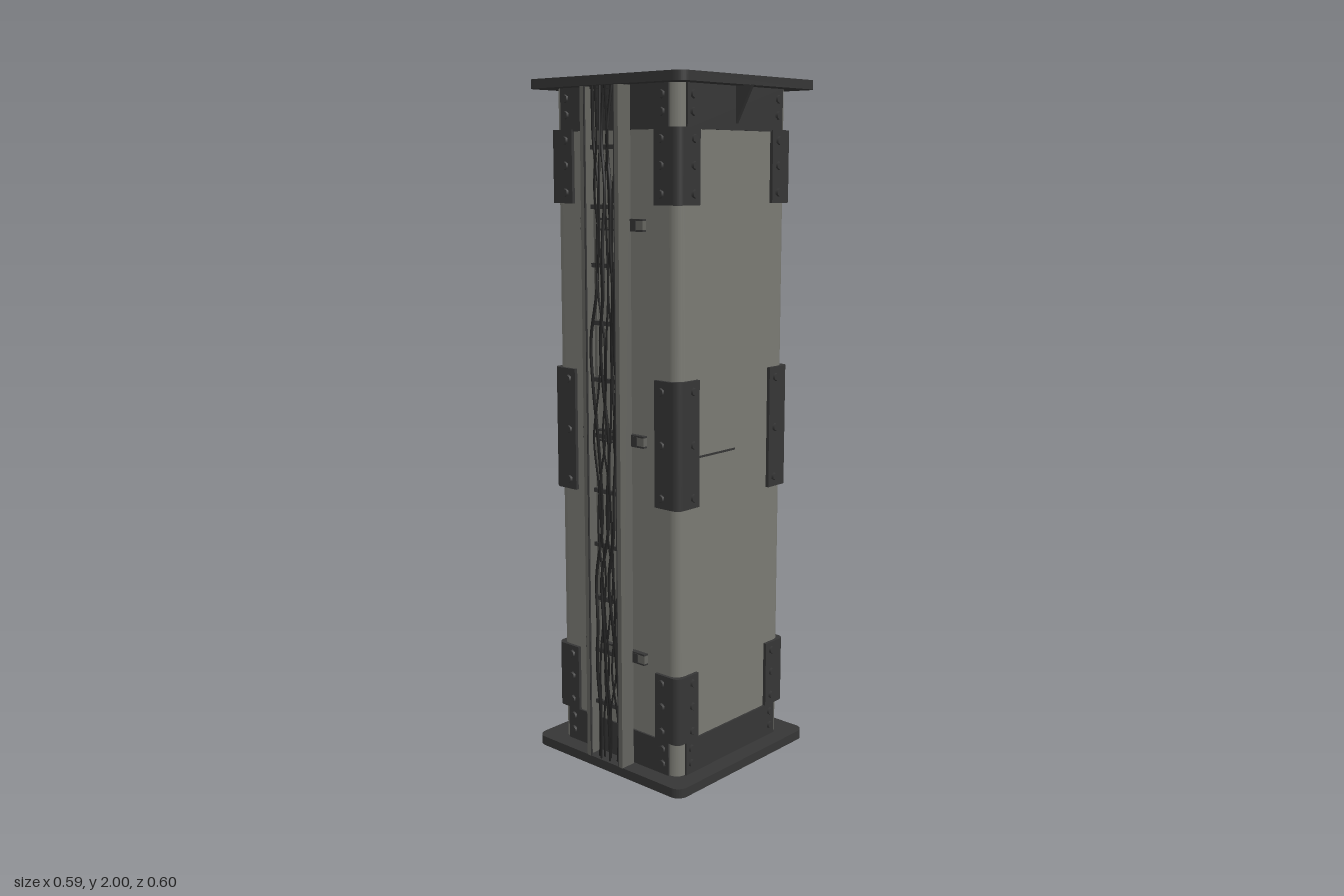
import * as THREE from 'three';

const mat = (name, color) => Object.assign(new THREE.MeshStandardMaterial({ color }), { name });

export function createModel() {
  const root = new THREE.Group();
  root.name = 'column';
  const concrete = mat('concreteGrey', 0x7a7a73);
  const steel = mat('darkSteel', 0x363636);
  const railGrey = mat('railGrey', 0x64645f);
  const cableBlack = mat('cableBlack', 0x202020);

  const add = (parent, name, geo, material, x = 0, y = 0, z = 0) => {
    const m = new THREE.Mesh(geo, material);
    m.name = name;
    m.position.set(x, y, z);
    parent.add(m);
    return m;
  };
  const box = (parent, name, material, w, h, d, x, y, z) =>
    add(parent, name, new THREE.BoxGeometry(w, h, d), material, x, y, z);

  // Upright prism with its base at y = 0
  const prism = (shape, h) =>
    new THREE.ExtrudeGeometry(shape, { depth: h, bevelEnabled: false, curveSegments: 6 }).rotateX(-Math.PI / 2);

  const roundedSquare = (a, r) => {
    const s = new THREE.Shape();
    s.absarc(a - r, a - r, r, 0, Math.PI / 2);
    s.absarc(-a + r, a - r, r, Math.PI / 2, Math.PI);
    s.absarc(-a + r, -a + r, r, Math.PI, Math.PI * 1.5);
    s.absarc(a - r, -a + r, r, Math.PI * 1.5, Math.PI * 2);
    s.closePath();
    return s;
  };

  // Shaft and end plates
  add(root, 'shaft', prism(roundedSquare(0.236, 0.03), 1.95), concrete, 0, 0.025, 0);
  add(root, 'basePlate', prism(roundedSquare(0.294, 0.032), 0.028), steel);
  add(root, 'topPlate', prism(roundedSquare(0.294, 0.032), 0.026), steel, 0, 1.974, -0.005);

  // Angle section that wraps one corner
  const angle = new THREE.Shape();
  const o = 0.246, i = 0.234, e = 0.157, r = 0.022;
  angle.moveTo(e, i);
  angle.lineTo(i - 0.02, i);
  angle.lineTo(i, i - 0.02);
  angle.lineTo(i, e);
  angle.lineTo(o, e);
  angle.lineTo(o, o - r);
  angle.absarc(o - r, o - r, r, 0, Math.PI / 2);
  angle.lineTo(e, o);
  angle.closePath();

  const boltGeo = new THREE.CylinderGeometry(0.011, 0.012, 0.008, 6).rotateX(Math.PI / 2);
  const brackets = [
    { y: 0.13, h: 0.2, bolts: [0.16, 0.235, 0.305] },
    { y: 0.82, h: 0.36, bolts: [0.85, 1.0, 1.15] },
    { y: 1.655, h: 0.205, bolts: [1.685, 1.76, 1.83] },
  ];
  const collarBolts = [0.06, 0.105, 1.9, 1.945];

  // Each side: two collars, one corner of brackets, and bolts
  for (let k = 0; k < 4; k++) {
    const side = new THREE.Group();
    side.name = 'side' + (k + 1);
    side.rotation.y = k * Math.PI / 2;
    root.add(side);
    box(side, 'lowerCollar', steel, 0.41, 0.104, 0.012, 0, 0.078, 0.236);
    box(side, 'upperCollar', steel, 0.41, 0.12, 0.012, 0, 1.915, 0.236);
    for (const b of brackets) {
      add(side, 'cornerBracket', prism(angle, b.h), steel, 0, b.y, 0);
      for (const y of b.bolts)
        for (const s of [-1, 1]) add(side, 'bolt', boltGeo, steel, s * 0.183, y, 0.249);
    }
    for (const y of collarBolts)
      for (const s of [-1, 1]) add(side, 'collarBolt', boltGeo, steel, s * 0.183, y, 0.245);
  }

  // Triangular gussets under the top plate
  const tri = new THREE.Shape([
    new THREE.Vector2(0.235, 1.86), new THREE.Vector2(0.297, 1.975), new THREE.Vector2(0.235, 1.975),
  ]);
  for (const s of [0, 1]) {
    const geo = new THREE.ExtrudeGeometry(tri, { depth: 0.01, bevelEnabled: false }).translate(0, 0, -0.005);
    add(root, 'gusset', geo, steel).rotation.y = s * Math.PI;
  }

  // Thin horizontal joint on the side
  box(root, 'sideJoint', steel, 0.003, 0.006, 0.17, 0.236, 0.96, 0.075);

  // Cable ladder: channel rails, rungs and wall struts
  const ladder = new THREE.Group();
  ladder.name = 'cableLadder';
  root.add(ladder);
  for (const s of [-1, 1]) {
    box(ladder, 'railWeb', railGrey, 0.005, 1.945, 0.048, s * 0.07, 1.0, 0.271);
    for (const z of [0.249, 0.293])
      box(ladder, 'railFlange', railGrey, 0.014, 1.945, 0.004, s * 0.064, 1.0, z);
    box(ladder, 'railEdge', steel, 0.003, 1.945, 0.005, s * 0.0565, 1.0, 0.2935);
  }
  for (let n = 0; n < 12; n++)
    box(ladder, 'rung', steel, 0.138, 0.012, 0.01, 0, 0.19 + n * 0.162, 0.257);
  for (const y of [0.36, 1.0, 1.6]) {
    box(ladder, 'wallStrut', railGrey, 0.24, 0.024, 0.016, 0, y, 0.242);
    for (const s of [-1, 1]) {
      box(ladder, 'strutLip', steel, 0.24, 0.005, 0.018, 0, y + s * 0.0145, 0.242);
      box(ladder, 'strutClip', steel, 0.02, 0.026, 0.02, s * 0.085, y, 0.243);
    }
  }

  // Loose cables wandering down the ladder
  for (let c = 0; c < 8; c++) {
    const pts = [];
    for (let j = 0; j <= 14; j++) {
      const wobble = 0.009 * Math.sin(j * 1.3 + c * 2.1) + 0.005 * Math.sin(j * 2.7 + c * 4.3);
      const z = 0.276 + 0.01 * Math.sin(j * 0.9 + c * 1.7);
      pts.push(new THREE.Vector3(-0.037 + c * 0.0105 + wobble, 0.028 + j * 0.139, z));
    }
    const path = new THREE.CatmullRomCurve3(pts);
    add(ladder, 'cable', new THREE.TubeGeometry(path, 70, c % 3 ? 0.003 : 0.0045, 6), cableBlack);
  }
  return root;
}
